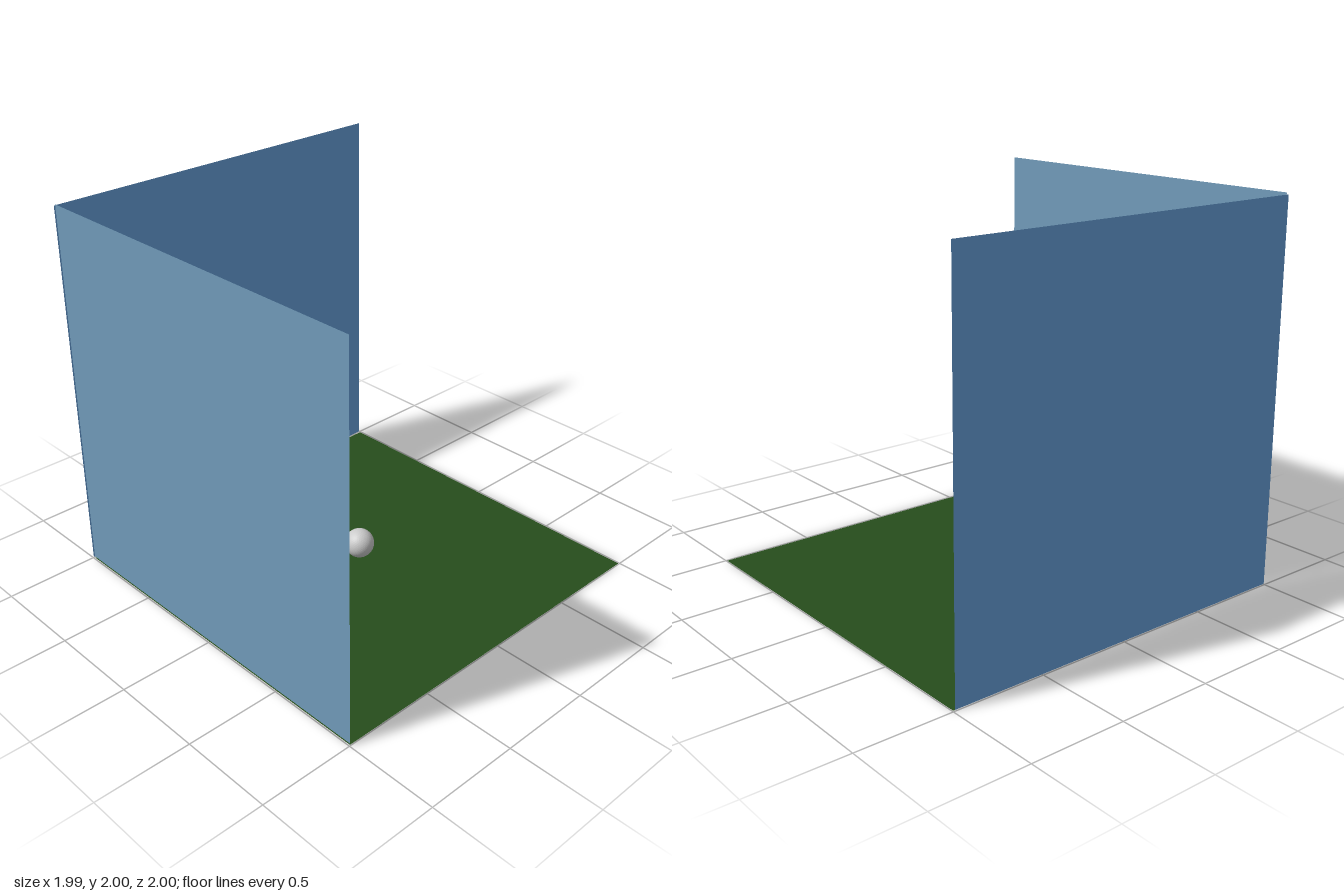
import * as THREE from 'three';

const SIZE = 1.987;

// Thin square sheet, visible from both sides
function sheet(name, color, position, rotation) {
  const mesh = new THREE.Mesh(
    new THREE.PlaneGeometry(SIZE, SIZE),
    new THREE.MeshStandardMaterial({ color, side: THREE.DoubleSide })
  );
  mesh.name = name;
  mesh.position.set(...position);
  mesh.rotation.set(...rotation);
  return mesh;
}

export function createModel() {
  const group = new THREE.Group();
  group.name = 'roomCornerWithBall';

  // Floor and the two walls, each slightly offset from its neighbours
  group.add(
    sheet('floor', 0x274e1c, [0.001, 0, 0.002], [-Math.PI / 2, 0, 0]),
    sheet('backWall', 0x6aa5e0, [-0.004, 0.998, -0.998], [0, 0, 0]),
    sheet('sideWall', 0x719bba, [-0.996, 1.006, 0.006], [0, Math.PI / 2, 0])
  );

  // Finely faceted ball hovering above the floor
  const ball = new THREE.Mesh(
    new THREE.IcosahedronGeometry(0.078, 8),
    new THREE.MeshStandardMaterial({ color: 0xcccccc, flatShading: true })
  );
  ball.name = 'ball';
  ball.position.set(0, 0.13, 0.03);
  group.add(ball);

  return group;
}
